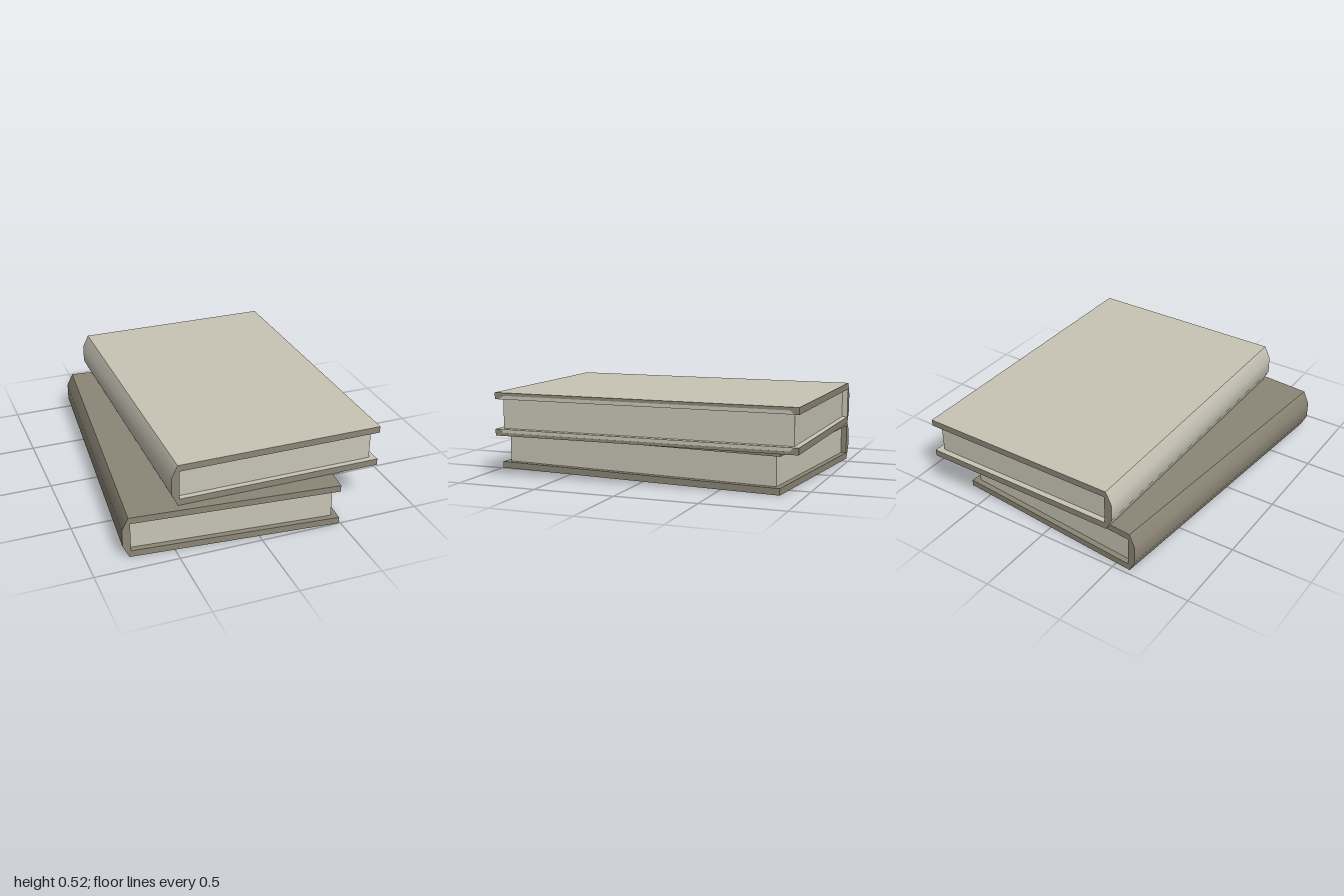
import * as THREE from 'three';
import { toCreasedNormals } from 'three/addons/utils/BufferGeometryUtils.js';

const W = 0.6475, L = 0.9325, H = 0.26, T = 0.04; // half width, half length, height, board thickness

function polygon(points) {
  return new THREE.Shape(points.map(([x, y]) => new THREE.Vector2(x, y)));
}

// C-shaped cover with a bevelled, softly shaded spine
function coverGeometry() {
  const shape = polygon([
    [W, 0], [W, T], [-0.6, T], [-0.6, H - T], [W, H - T], [W, H],
    [-0.61, H], [-W, 0.183], [-W, 0.077], [-0.61, 0],
  ]);
  const geo = new THREE.ExtrudeGeometry(shape, { depth: 2 * L, bevelEnabled: false });
  geo.translate(0, 0, -L);
  return toCreasedNormals(geo, 0.7);
}

// Thin dark border on the outer rim of a board's fore edge
function edgeGeometry(flip) {
  const y = (v) => (flip ? H - v : v);
  const shape = polygon([
    [-L, y(T)], [-L, y(0)], [L, y(0)], [L, y(T)],
    [L - 0.03, y(T)], [L - 0.05, y(0.018)], [-L + 0.05, y(0.018)], [-L + 0.03, y(T)],
  ]);
  const geo = new THREE.ExtrudeGeometry(shape, { depth: 0.002, bevelEnabled: false });
  geo.rotateY(Math.PI / 2);
  return geo.translate(W - 0.001, 0, 0);
}

function makeBook(name, rim, outside, paper) {
  const book = new THREE.Group();
  book.name = name;
  const add = (part, geo, mat) => {
    const mesh = new THREE.Mesh(geo, mat);
    mesh.name = part;
    book.add(mesh);
    return mesh;
  };

  // Rim faces are the extrusion caps, the rest are its sides
  add('cover', coverGeometry(), [rim, outside]);

  // Page block, set back from three open edges
  const x0 = -0.602, x1 = W - 0.038;
  add('pages', new THREE.BoxGeometry(x1 - x0, H - 2 * T + 0.002, 2 * (L - 0.035)), paper)
    .position.set((x0 + x1) / 2, H / 2, 0);

  if (rim !== outside) {
    add('lowerEdgeBorder', edgeGeometry(false), rim);
    add('upperEdgeBorder', edgeGeometry(true), rim);
  }
  return book;
}

export function createModel() {
  const brown = new THREE.MeshStandardMaterial({ name: 'brownCover', color: 0x8c8676 });
  const light = new THREE.MeshStandardMaterial({ name: 'paleStone', color: 0xc8c5b6 });

  const model = new THREE.Group();
  model.name = 'bookStack';

  // Lower book, turned slightly
  const lower = makeBook('lowerBook', brown, brown, light);
  lower.position.set(-0.0725, 0, 0.0125);
  lower.rotation.y = -0.0885;

  // Upper book, square to the axes
  const upper = makeBook('upperBook', brown, light, light);
  upper.position.set(0.1475, H + 0.001, -0.0675);

  model.add(lower, upper);
  return model;
}
